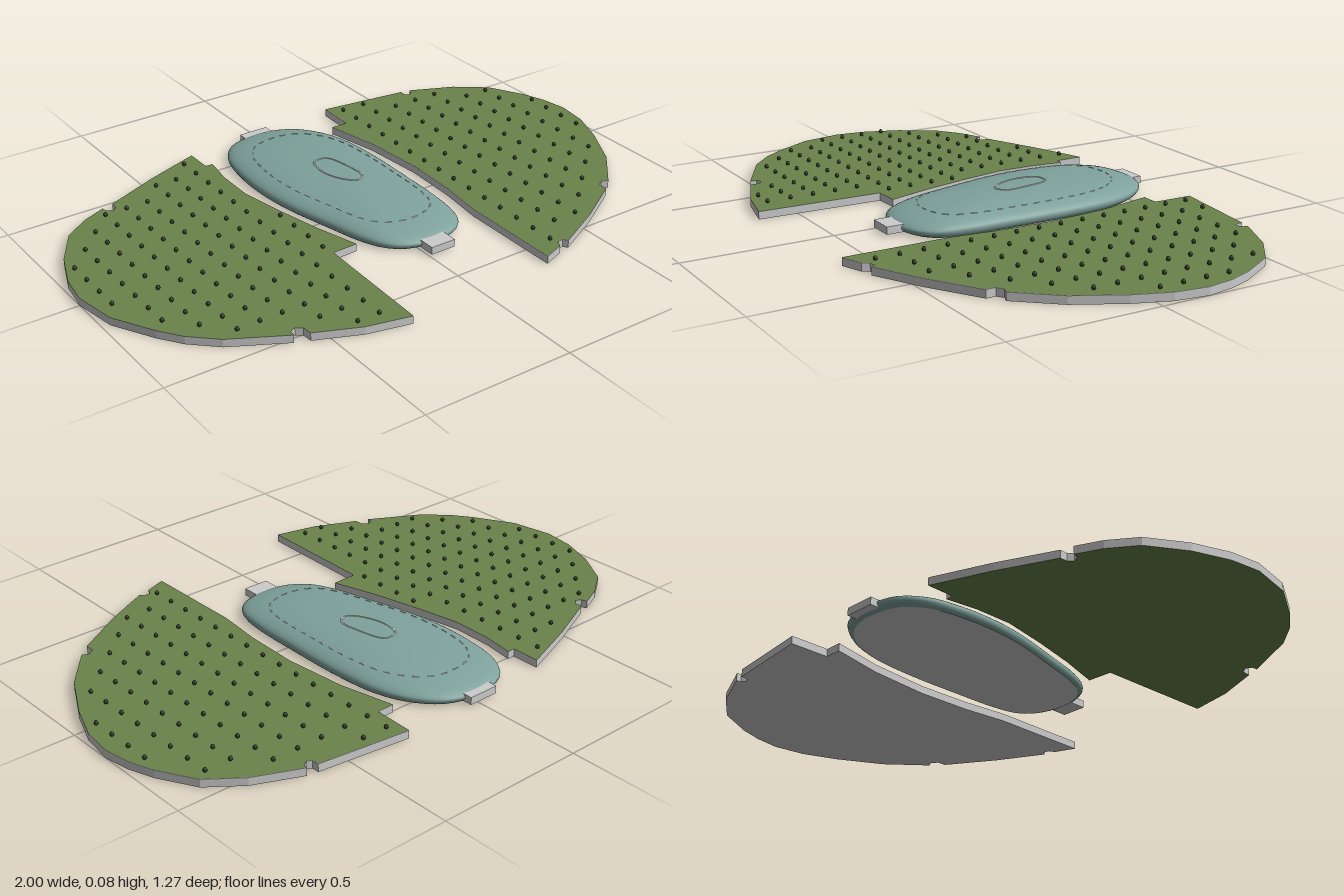
import * as THREE from 'three';
import { mergeGeometries } from 'three/addons/utils/BufferGeometryUtils.js';

const mat = (name, color, side = THREE.FrontSide) => {
  const m = new THREE.MeshStandardMaterial({ color, side });
  m.name = name;
  return m;
};

// Outlines seen from above, as [x, z]
const RIGHT_SLAB = [
  [-.283, -.6], [-.283, -.505], [-.257, -.505], [-.273, -.4], [-.275, -.265], [-.246, -.105],
  [-.21, .055], [-.166, .207], [-.253, .21], [-.266, .633], [-.41, .6], [-.553, .538],
  [-.555, .505], [-.575, .49], [-.595, .5], [-.597, .52], [-.77, .425], [-.85, .35], [-.9, .28],
  [-.975, .145], [-1, 0], [-.985, -.105], [-.94, -.225], [-.865, -.345], [-.78, -.405],
  [-.7, -.44], [-.695, -.42], [-.675, -.41], [-.66, -.425], [-.66, -.45], [-.475, -.53]];
const LEFT_SLAB = [
  [.292, -.64], [.6, -.603], [.6, -.578], [.615, -.57], [.632, -.582], [.635, -.597],
  [.786, -.53], [.89, -.45], [.957, -.33], [.985, -.25], [1, -.16], [.985, -.05], [.94, .067],
  [.86, .217], [.75, .345], [.727, .335], [.706, .35], [.706, .382], [.54, .484], [.38, .565],
  [.37, .55], [.348, .553], [.337, .575], [.265, .602], [.265, .243], [.283, .083],
  [.289, -.105], [.27, -.32], [.23, -.505], [.289, -.505]];
const BODY = [
  [-.02, -.615], [-.13, -.59], [-.19, -.515], [-.215, -.4], [-.22, -.265], [-.205, -.13],
  [-.165, .04], [-.125, .19], [-.085, .265], [-.03, .305], [.06, .32], [.155, .295],
  [.195, .25], [.215, .16], [.222, -.02], [.222, -.24], [.205, -.4], [.165, -.505],
  [.1, -.58], [.03, -.61]];
const OVAL = [
  [-.015, -.25], [.03, -.25], [.057, -.16], [.058, -.08], [.027, -.062], [-.005, -.09],
  [-.032, -.16], [-.03, -.22]];

const SLAB_H = 0.027, RIM_Y = 0.02, DOME_H = 0.053, CX = 0.015, CZ = -0.15;

const smoothLoop = (pts, n) => {
  const c = new THREE.CatmullRomCurve3(pts.map(([x, z]) => new THREE.Vector3(x, 0, z)), true);
  return c.getSpacedPoints(n).slice(0, n);
};
const flatShape = pts => new THREE.Shape(pts.map(([x, z]) => new THREE.Vector2(x, -z)));

// True when a point lies in the outline with some margin from its edge
function insideWithMargin(pts, x, z, margin) {
  let inside = false;
  for (let i = 0, j = pts.length - 1; i < pts.length; j = i++) {
    const [ax, az] = pts[j], [bx, bz] = pts[i], dx = bx - ax, dz = bz - az;
    if ((az > z) !== (bz > z) && x < ax + dx * (z - az) / dz) inside = !inside;
    const t = THREE.MathUtils.clamp(((x - ax) * dx + (z - az) * dz) / (dx * dx + dz * dz), 0, 1);
    if (Math.hypot(x - ax - t * dx, z - az - t * dz) < margin) return false;
  }
  return inside;
}

const domeY = s => RIM_Y + DOME_H * Math.sqrt(Math.max(0, 1 - s * s));

// Rounded body: scaled outline rings from the base up to the crown
function bodyGeometry(loop) {
  const rings = [[.95, 0], [.98, .006], [.995, .013]];
  for (let k = 0; k < 16; k++) {
    const a = k / 16 * Math.PI / 2;
    rings.push([Math.cos(a), RIM_Y + DOME_H * Math.sin(a)]);
  }
  const n = loop.length, pos = [], idx = [];
  for (const [s, y] of rings)
    for (const p of loop) pos.push(CX + (p.x - CX) * s, y, CZ + (p.z - CZ) * s);
  pos.push(CX, RIM_Y + DOME_H, CZ);
  const top = rings.length * n;
  for (let r = 0; r < rings.length; r++)
    for (let i = 0; i < n; i++) {
      const a = r * n + i, b = r * n + (i + 1) % n;
      if (r === rings.length - 1) idx.push(a, b, top);
      else idx.push(a, b, b + n, a, b + n, a + n);
    }
  const g = new THREE.BufferGeometry();
  g.setAttribute('position', new THREE.Float32BufferAttribute(pos, 3));
  g.setIndex(idx);
  g.computeVertexNormals();
  return g;
}

export function createModel() {
  const green = mat('leaf green', 0x6a824b);
  const darkGreen = mat('dark green', 0x2c3820);
  const grey = mat('light grey', 0xcccccc);
  const teal = mat('teal', 0x7fa29c);
  const white = mat('off white', 0xe4e4de);

  const model = new THREE.Group();
  const add = (name, geo, m, parent = model) => {
    const mesh = new THREE.Mesh(geo, m);
    mesh.name = name;
    parent.add(mesh);
    return mesh;
  };

  // Side slabs: grey edge, green top, rows of small studs
  function slab(name, pts, underside, stepX, stepZ, x0, z0) {
    const g = new THREE.Group();
    g.name = name;
    const shape = flatShape(pts);
    const block = new THREE.ExtrudeGeometry(shape, { depth: SLAB_H - .001, bevelEnabled: false });
    add('slabBlock', block.rotateX(-Math.PI / 2), [underside, grey], g);
    const top = new THREE.ShapeGeometry(shape).rotateX(-Math.PI / 2).translate(0, SLAB_H, 0);
    add('slabTop', top, green, g);
    const studs = [];
    for (let i = -14; i <= 14; i++)
      for (let j = -10; j <= 10; j++) {
        const x = x0 + i * stepX, z = z0 + j * stepZ;
        if (!insideWithMargin(pts, x, z, .025)) continue;
        studs.push(new THREE.SphereGeometry(.007, 8, 6).scale(1, 1.15, 1).translate(x, .033, z));
      }
    add('studs', mergeGeometries(studs), darkGreen, g);
    model.add(g);
  }
  slab('rightSlab', RIGHT_SLAB, green, .075, .08, -.34, .01);
  slab('leftSlab', LEFT_SLAB, grey, .087, .08, .335, -.03);

  // Central body with flat underside
  const loop = smoothLoop(BODY, 80);
  add('body', bodyGeometry(loop), teal);
  const base = flatShape(loop.map(p => [CX + (p.x - CX) * .95, CZ + (p.z - CZ) * .95]));
  add('bodyUnderside', new THREE.ShapeGeometry(base).rotateX(-Math.PI / 2).scale(1, -1, 1),
    mat('underside grey', 0xcccccc, THREE.DoubleSide));

  // Height of the dome above any point
  const heightAt = (x, z) => {
    const a = Math.atan2(z - CZ, x - CX);
    let best = 9, reach = 1;
    for (const p of loop) {
      const d = Math.abs(Math.atan2(p.z - CZ, p.x - CX) - a);
      const gap = Math.min(d, 2 * Math.PI - d);
      if (gap < best) { best = gap; reach = Math.hypot(p.x - CX, p.z - CZ); }
    }
    return domeY(Math.hypot(x - CX, z - CZ) / reach);
  };

  // Oval outline on the crown
  const ovalPts = smoothLoop(OVAL, 40);
  ovalPts.forEach(p => { p.y = heightAt(p.x, p.z); });
  add('crownOval', new THREE.TubeGeometry(
    new THREE.CatmullRomCurve3(ovalPts, true), 60, .0028, 5, true), white);

  // Dashed line around the body
  const S = .77;
  const seam = loop.map(p => new THREE.Vector3(CX + (p.x - CX) * S, domeY(S), CZ + (p.z - CZ) * S));
  const dashes = [];
  for (let i = 0; i < seam.length; i += 2) {
    const path = new THREE.LineCurve3(seam[i], seam[(i + 1) % seam.length]);
    dashes.push(new THREE.TubeGeometry(path, 1, .0022, 5, false));
  }
  add('dashedSeam', mergeGeometries(dashes), white);

  // End tabs
  const tab = (name, x0, x1, z0, z1) => {
    const g = new THREE.BoxGeometry(x1 - x0, .025, z1 - z0);
    add(name, g.translate((x0 + x1) / 2, .0185, (z0 + z1) / 2), grey);
  };
  tab('backTab', -.07, .035, -.633, -.59);
  tab('frontTab', .005, .093, .293, .365);

  return model;
}
